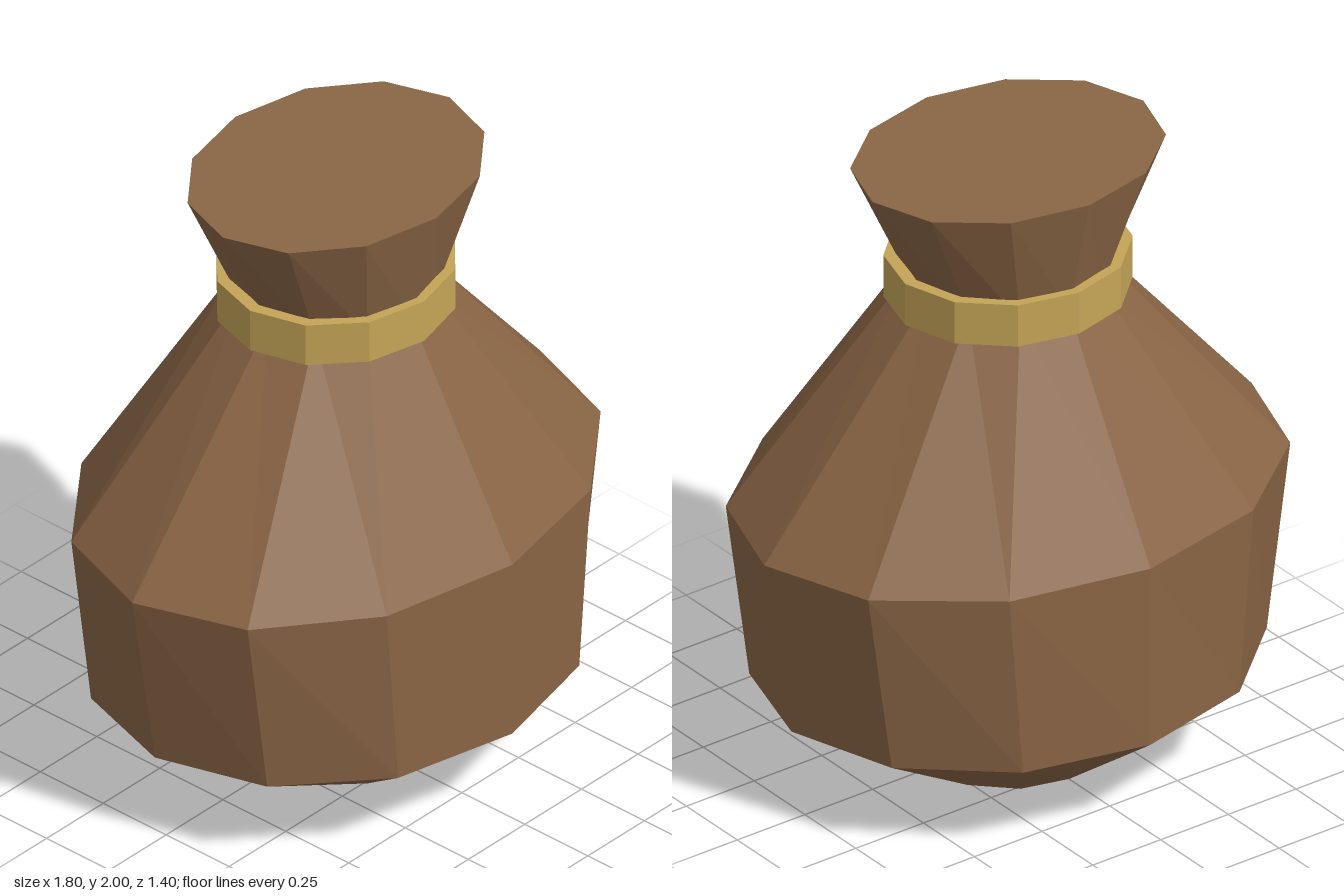
import * as THREE from 'three';

const SIDES = 12;

// Closed solid lofted through oval rings, listed bottom to top as [y, radiusX, radiusZ]
function ovalLoft(rings) {
  const pos = [];
  const point = ([y, rx, rz], i) => {
    const a = (i % SIDES) * Math.PI * 2 / SIDES;
    return [rx * Math.cos(a), y, rz * Math.sin(a)];
  };
  const tri = (a, b, c) => pos.push(...a, ...b, ...c);
  const low = rings[0], high = rings[rings.length - 1];
  for (let i = 0; i < SIDES; i++) {
    for (let r = 0; r < rings.length - 1; r++) {
      const a = point(rings[r], i), b = point(rings[r], i + 1);
      const c = point(rings[r + 1], i + 1), d = point(rings[r + 1], i);
      tri(a, d, c);
      tri(a, c, b);
    }
    tri([0, low[0], 0], point(low, i), point(low, i + 1));
    tri([0, high[0], 0], point(high, i + 1), point(high, i));
  }
  const geo = new THREE.BufferGeometry();
  geo.setAttribute('position', new THREE.Float32BufferAttribute(pos, 3));
  geo.computeVertexNormals();
  return geo;
}

export function createModel() {
  const leather = new THREE.MeshStandardMaterial({ color: 0x8a6545, flatShading: true });
  leather.name = 'brown leather';
  const gold = new THREE.MeshStandardMaterial({ color: 0xc4a457, flatShading: true });
  gold.name = 'gold band';

  const group = new THREE.Group();
  group.name = 'pouch';
  const add = (name, rings, material) => {
    const mesh = new THREE.Mesh(ovalLoft(rings), material);
    mesh.name = name;
    group.add(mesh);
  };

  // Sack: small base, full belly, pinched neck, flared closed mouth
  add('sack', [
    [0, 0.3, 0.3],
    [0.3, 0.8, 0.7],
    [0.9, 0.9, 0.7],
    [1.6, 0.3, 0.3],
    [2, 0.5, 0.4],
  ], leather);

  // Tie around the neck
  add('neckBand', [
    [1.54, 0.38, 0.35],
    [1.68, 0.38, 0.35],
  ], gold);

  return group;
}
